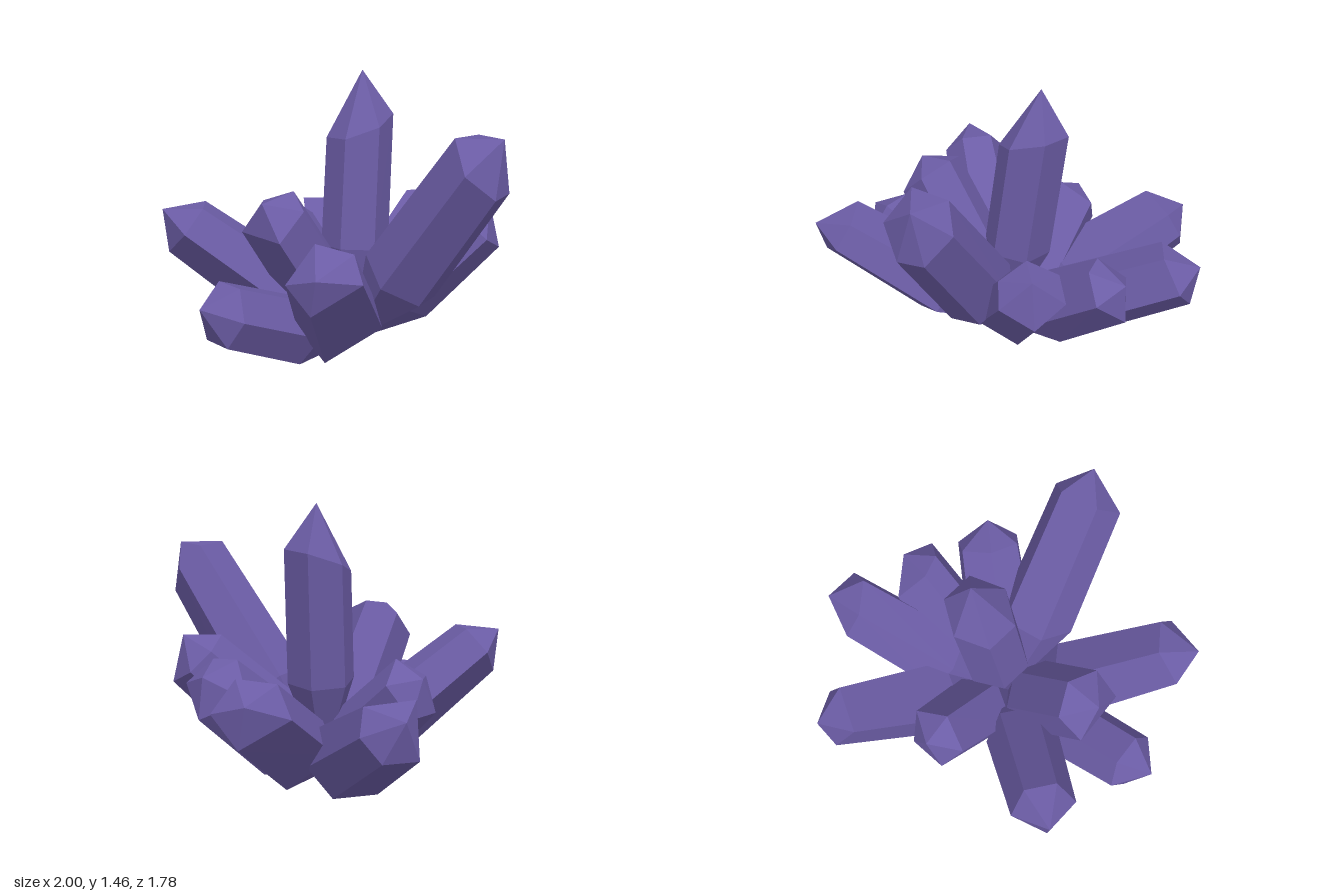
import * as THREE from 'three';
import { ConvexGeometry } from 'three/addons/geometries/ConvexGeometry.js';

// Shared point from which every crystal grows
const ROOT = new THREE.Vector3(-0.03, 0.015, -0.03);

// Corner angles of a cross-section in degrees, seen from the tip: 0 is right, 90 is up
const HEXAGON = [0, 60, 120, 180, 240, 300];
const PENTAGON = [18, 90, 162, 234, 306];

// Each crystal: name, tip position, and changes to the default section and sizes.
// shift moves the shoulder ring right and up, skew slants it along the axis.
const CRYSTALS = [
  { name: 'centreCrystal', tip: [0.14, 1.47, -0.09], shoulder: 0.8, r0: 0.18, r1: 0.175, skew: [-0.045, -0.066], corners: [26, 86, 146, 206, 266, 326] },
  { name: 'frontCrystal', tip: [0.02, 1.23, 0.88], r0: 0.21, r1: 0.185, shift: [-0.025, 0], skew: [0, 0.055], corners: [0, 53, 120, 188, 252, 298] },
  { name: 'frontRightCrystal', tip: [-0.89, 0.68, 0.51], r0: 0.22, r1: 0.18, shift: [0.015, 0.045], corners: [-5, 45, 109, 190, 255] },
  { name: 'frontLeftCrystal', tip: [0.45, 0.79, 0.53], shoulder: 0.87, r1: 0.175, shift: [0.01, -0.035], corners: [-20, 30, 90, 150, 198, 268] },
  { name: 'lowRightCrystal', tip: [-1.0, 0.43, -0.14], waist: 0.385, shoulder: 0.86, r0: 0.185, skew: [0, 0.02] },
  { name: 'highRightCrystal', tip: [-0.61, 0.88, -0.1], r1: 0.185, skew: [0, 0.03], corners: [30, 90, 150, 215, 325] },
  { name: 'backRightCrystal', tip: [-0.71, 0.77, -0.74], shoulder: 0.87, corners: [0, 60, 120, 180, 270] },
  { name: 'backCrystal', tip: [0.08, 0.62, -0.67], r1: 0.175, skew: [0, 0.03], corners: PENTAGON },
  { name: 'backLeftCrystal', tip: [0.65, 0.55, -0.87], r0: 0.235, r1: 0.18, corners: [45, 140, 188, 239, 300] },
  { name: 'upperLeftCrystal', tip: [1.0, 0.61, -0.25], r1: 0.18, shift: [-0.02, 0.01], skew: [-0.05, 0], corners: [0, 60, 123, 190, 262] },
  { name: 'lowerLeftCrystal', tip: [0.77, 0.66, 0.16], r1: 0.175, skew: [-0.05, 0], corners: [0, 83, 126, 187, 267] },
];

// Faceted crystal: pointed root, tapering shaft and pointed tip
function makeCrystal({ name, tip, waist = 0.36, shoulder = 0.89, r0 = 0.2, r1 = 0.17, shift = [0, 0], skew = [0, 0], corners = HEXAGON }, material) {
  const axis = new THREE.Vector3(...tip).sub(ROOT);
  const length = axis.length();
  axis.normalize();

  // Root, tip, then a waist and a shoulder point at each corner
  const points = [new THREE.Vector3(), new THREE.Vector3(0, length, 0)];
  for (const degrees of corners) {
    const a = THREE.MathUtils.degToRad(degrees);
    const right = Math.cos(a), up = Math.sin(a);
    const slant = skew[0] * right + skew[1] * up;
    points.push(
      new THREE.Vector3(r0 * up, waist * length, r0 * right),
      new THREE.Vector3(r1 * up + shift[1], shoulder * length + slant, r1 * right + shift[0]),
    );
  }
  const mesh = new THREE.Mesh(new ConvexGeometry(points), material);

  // Lean along the axis, keeping the section's right side level
  const side = new THREE.Vector3(0, 1, 0).cross(axis).normalize();
  const over = axis.clone().cross(side);
  mesh.quaternion.setFromRotationMatrix(new THREE.Matrix4().makeBasis(over, axis, side));
  mesh.position.copy(ROOT);
  mesh.name = name;
  return mesh;
}

export function createModel() {
  const group = new THREE.Group();
  group.name = 'crystalCluster';
  const material = new THREE.MeshStandardMaterial({ color: 0x6b5ca5, flatShading: true });
  for (const crystal of CRYSTALS) group.add(makeCrystal(crystal, material));
  return group;
}
